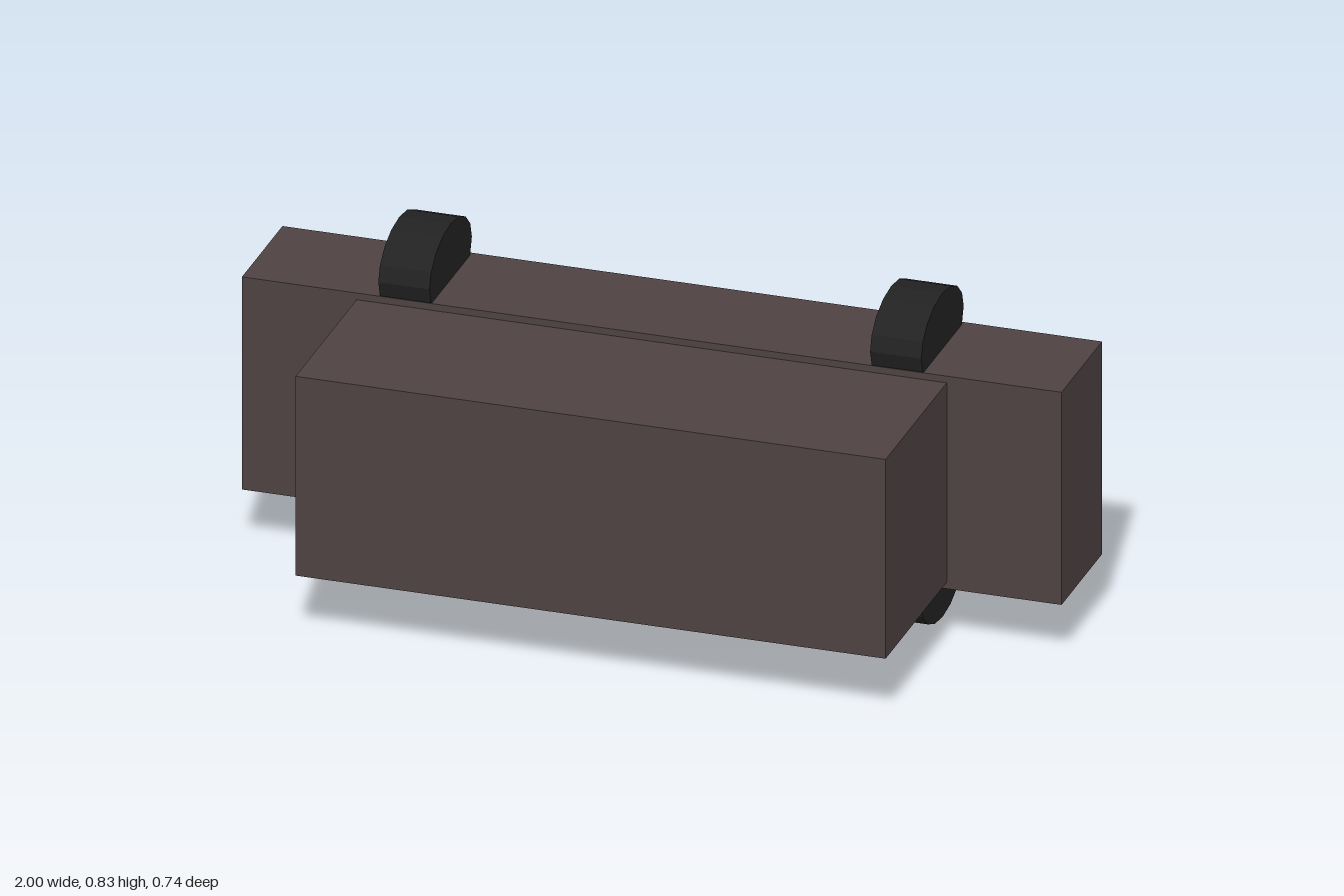
import * as THREE from 'three';

export function createModel() {
  const model = new THREE.Group();
  const bodyMat = new THREE.MeshStandardMaterial({ color: 0x4e4242 });
  bodyMat.name = 'dull brown';
  const rollerMat = new THREE.MeshStandardMaterial({ color: 0x222222, flatShading: true });
  rollerMat.name = 'near black';

  // Block from its minimum and maximum corners
  const block = (name, min, max) => {
    const size = max.map((v, i) => v - min[i]);
    const mesh = new THREE.Mesh(new THREE.BoxGeometry(...size), bodyMat);
    mesh.position.set(...max.map((v, i) => (v + min[i]) / 2));
    mesh.name = name;
    model.add(mesh);
  };
  block('rearBlock', [-1, 0.143, -0.37], [1, 0.685, -0.075]);
  block('frontBlock', [-0.72, 0.16, -0.075], [0.72, 0.668, 0.37]);

  // Four oval rollers, half sunk into the top and bottom of the rear block
  const rollerGeo = new THREE.CylinderGeometry(1, 1, 0.125, 16);
  rollerGeo.rotateZ(Math.PI / 2);
  rollerGeo.scale(1, 0.1, 0.154);
  rollerGeo.computeVertexNormals();
  for (const [side, x] of [['left', 0.6], ['right', -0.6]]) {
    for (const [level, y] of [['Upper', 0.727], ['Lower', 0.101]]) {
      const roller = new THREE.Mesh(rollerGeo, rollerMat);
      roller.position.set(x, y, -0.215);
      roller.name = `${side}${level}Roller`;
      model.add(roller);
    }
  }
  return model;
}
